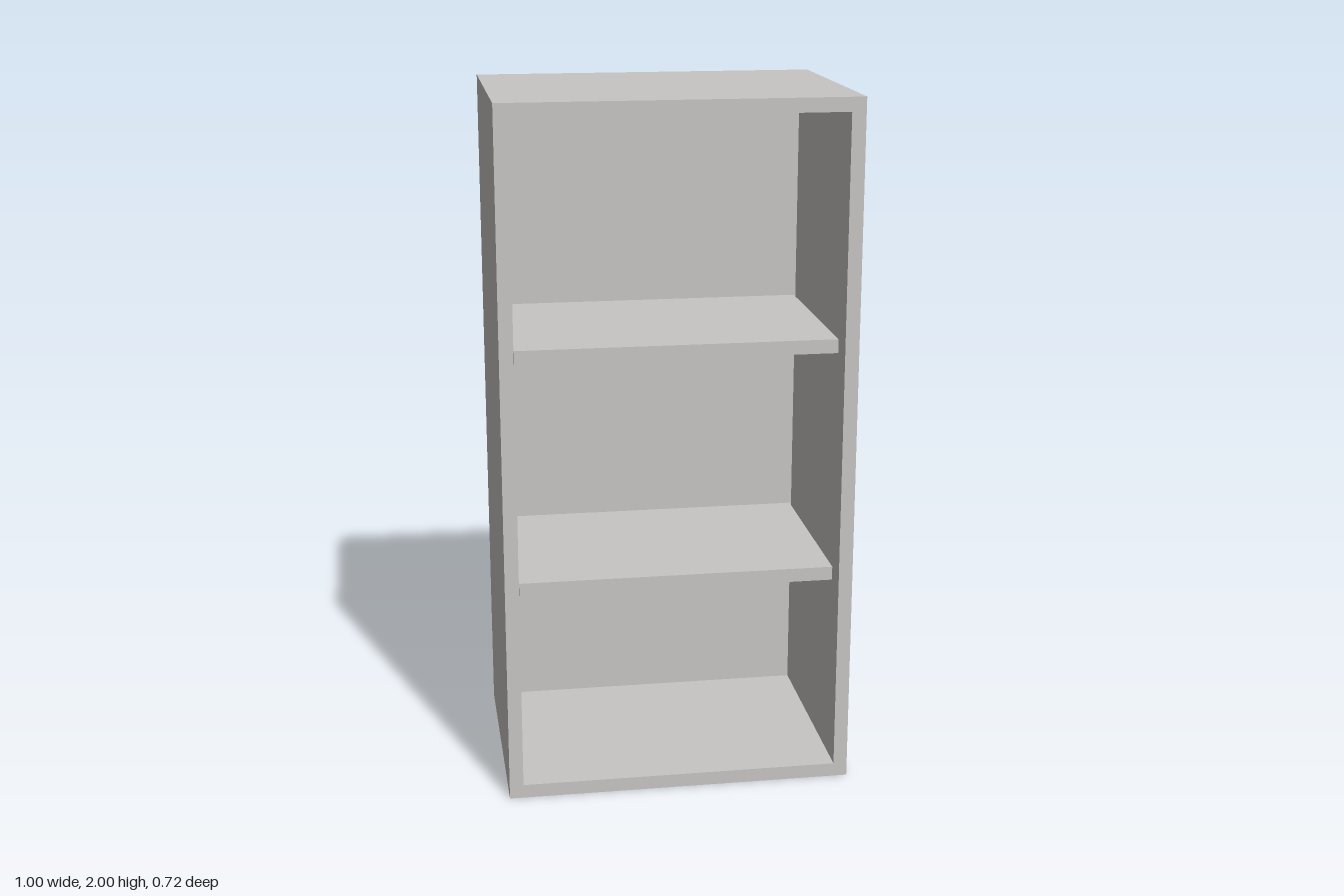
import * as THREE from 'three';

const W = 1, H = 2, D = 0.72, T = 0.04; // outer size and board thickness

export function createModel() {
  const model = new THREE.Group();
  model.name = 'bookcase';
  const paint = new THREE.MeshStandardMaterial({ color: 0xc8c6c3 });
  paint.name = 'warm grey board';

  const add = (name, geometry, x, y, z) => {
    const mesh = new THREE.Mesh(geometry, paint);
    mesh.name = name;
    mesh.position.set(x, y, z);
    model.add(mesh);
  };

  // Carcass: sides, top and bottom as one open frame
  const outline = new THREE.Shape([
    new THREE.Vector2(-W / 2, 0), new THREE.Vector2(W / 2, 0),
    new THREE.Vector2(W / 2, H), new THREE.Vector2(-W / 2, H),
  ]);
  outline.holes.push(new THREE.Path([
    new THREE.Vector2(-W / 2 + T, T), new THREE.Vector2(-W / 2 + T, H - T),
    new THREE.Vector2(W / 2 - T, H - T), new THREE.Vector2(W / 2 - T, T),
  ]));
  add('carcass', new THREE.ExtrudeGeometry(outline, { depth: D, bevelEnabled: false }), 0, 0, -D / 2);

  // Recessed back panel
  const innerW = W - 2 * T;
  add('backPanel', new THREE.BoxGeometry(innerW, H - 2 * T, T), 0, H / 2, -0.3);

  // Rails across the back, flush with the rear edges
  const railH = 0.14;
  for (const [name, y] of [['bottomRail', T + railH / 2], ['topRail', H - T - railH / 2]]) {
    add(name, new THREE.BoxGeometry(innerW, railH, T), 0, y, -D / 2 + T / 2);
  }

  // Shelves, set back from the front with a small gap at each side
  const shelfBack = -0.28, shelfFront = 0.3;
  for (const [name, y] of [['lowerShelf', 0.62], ['upperShelf', 1.3]]) {
    add(name, new THREE.BoxGeometry(innerW - 0.01, T, shelfFront - shelfBack), 0, y, (shelfFront + shelfBack) / 2);
  }

  return model;
}
